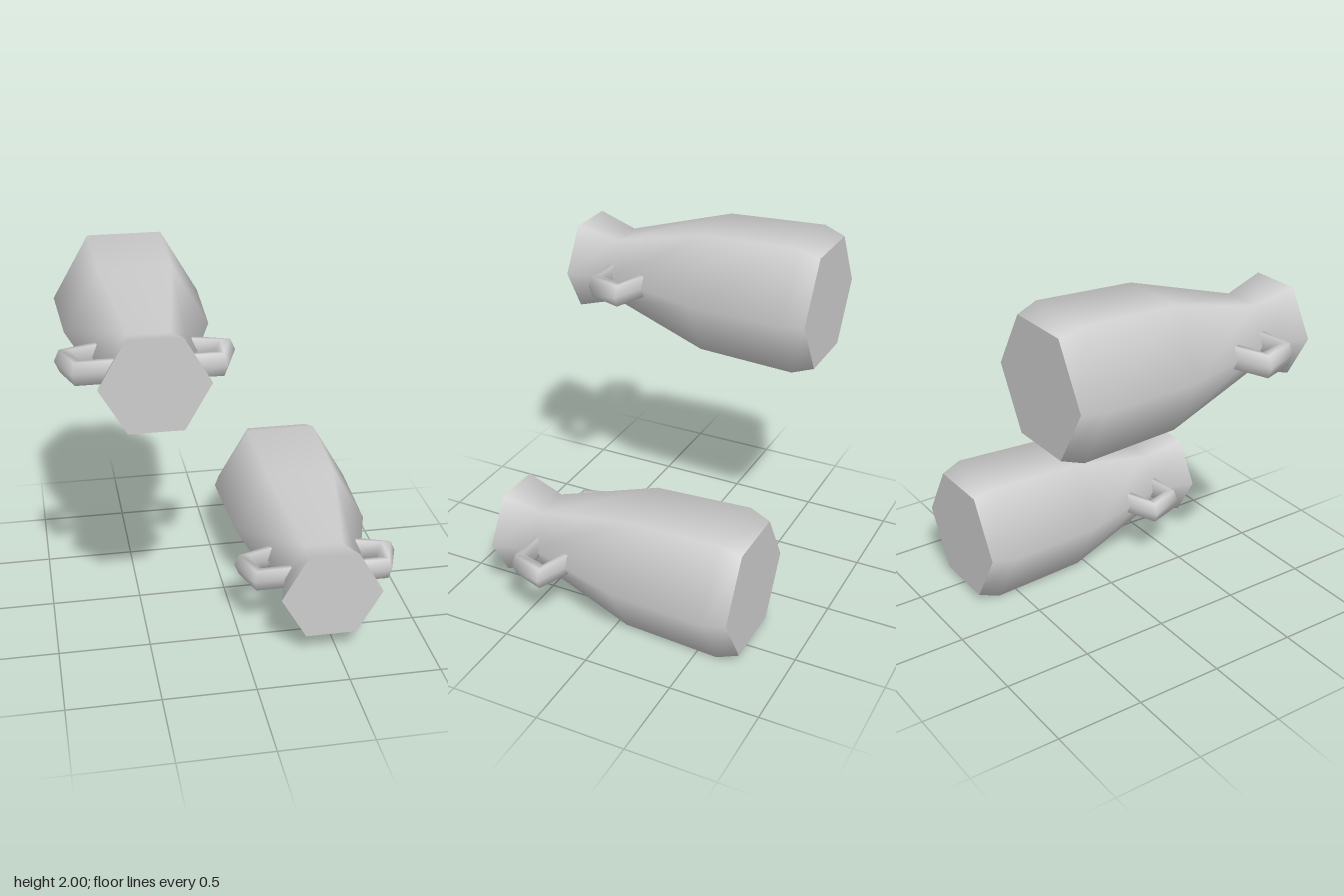
import * as THREE from 'three';

const grey = new THREE.MeshStandardMaterial({ color: 0xcccccc });
grey.name = 'plain grey';

// Body profile: [radius to the corner, position along z]
const PROFILE = [[0.367, -0.735], [0.411, -0.615], [0.388, -0.065], [0.211, 0.505], [0.28, 0.735]];

// Handle stations: outer x, z and inner x, z, from the body outwards and back
const HANDLE = [
  [0.24, 0.24, 0.2, 0.3],
  [0.462, 0.33, 0.357, 0.34],
  [0.387, 0.535, 0.332, 0.475],
  [0.17, 0.532, 0.17, 0.472],
];

// Hexagonal tube with mitred corners
function handleGeometry() {
  const h = 0.061;
  const ring = [[0, 0], [0.25, h], [0.75, h], [1, 0], [0.75, -h], [0.25, -h]];
  const positions = [];
  const index = [];
  HANDLE.forEach(([ox, oz, ix, iz], s) => {
    ring.forEach(([t, y], j) => {
      positions.push(ox + (ix - ox) * t, y, oz + (iz - oz) * t);
      if (s === HANDLE.length - 1) return;
      const a = s * 6 + j;
      const b = s * 6 + (j + 1) % 6;
      index.push(a, b, a + 6, b, b + 6, a + 6);
    });
  });
  const geometry = new THREE.BufferGeometry();
  geometry.setAttribute('position', new THREE.Float32BufferAttribute(positions, 3));
  geometry.setIndex(index);
  geometry.computeVertexNormals();
  return geometry;
}

function createVase() {
  const vase = new THREE.Group();
  const add = (geometry, name) => {
    const mesh = new THREE.Mesh(geometry, grey);
    mesh.name = name;
    vase.add(mesh);
    return mesh;
  };

  // Six-sided body lying along z, corners pointing sideways
  const points = PROFILE.map(([r, z]) => new THREE.Vector2(r, z));
  add(new THREE.LatheGeometry(points, 6, Math.PI / 2).rotateX(Math.PI / 2), 'body');

  // Flat end caps
  const [baseR, baseZ] = PROFILE[0];
  const [mouthR, mouthZ] = PROFILE[PROFILE.length - 1];
  add(new THREE.CircleGeometry(mouthR, 6), 'mouth').position.z = mouthZ;
  const base = add(new THREE.CircleGeometry(baseR, 6), 'base');
  base.rotation.y = Math.PI;
  base.position.z = baseZ;

  // A handle on each side
  const geometry = handleGeometry();
  add(geometry, 'leftHandle');
  add(geometry, 'rightHandle').rotation.z = Math.PI;
  return vase;
}

export function createModel() {
  const model = new THREE.Group();
  model.name = 'pairOfVases';
  for (const [name, x, y] of [['upperVase', -0.462, 1.644], ['lowerVase', 0.462, 0.356]]) {
    const vase = createVase();
    vase.name = name;
    vase.position.set(x, y, 0);
    model.add(vase);
  }
  return model;
}
